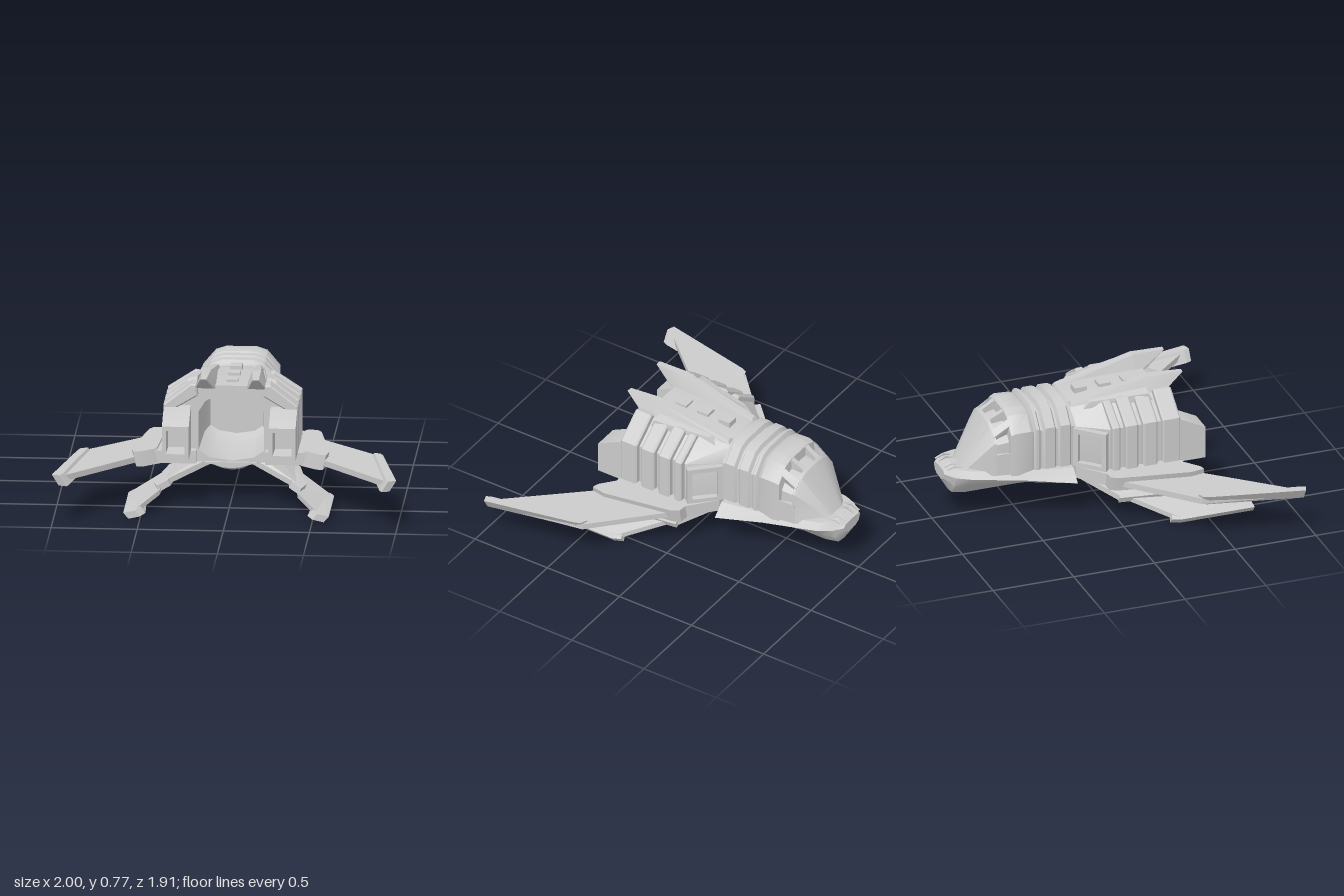
import * as THREE from 'three';
import { toCreasedNormals } from 'three/addons/utils/BufferGeometryUtils.js';
import { ConvexGeometry } from 'three/addons/geometries/ConvexGeometry.js';

const material = new THREE.MeshStandardMaterial({ color: 0xcccccc });

// Skin over mirrored cross-sections: each is [z, half profile from top centre to bottom centre]
function loft(sections, crease = 0.5) {
  const n = sections[0][1].length, m = 2 * n - 2, pos = [];
  const rings = sections.map(([z, half]) => [
    ...half.map(([x, y]) => [x, y, z]),
    ...half.slice(1, -1).reverse().map(([x, y]) => [-x, y, z]),
  ]);
  const tri = (a, b, c) => pos.push(...a, ...b, ...c);
  for (let i = 0; i < rings.length - 1; i++) {
    for (let j = 0; j < m; j++) {
      const k = (j + 1) % m, a = rings[i], b = rings[i + 1];
      tri(a[j], b[j], b[k]);
      tri(a[j], b[k], a[k]);
    }
  }
  const cap = (r, flip) => {
    for (let j = 0; j < n - 1; j++) {
      const p = j, q = j + 1, s = (m - q) % m, t = (m - p) % m;
      const t1 = [r[p], r[q], r[s]], t2 = [r[p], r[s], r[t]];
      if (q !== s) tri(...(flip ? t1.reverse() : t1));
      if (p !== t) tri(...(flip ? t2.reverse() : t2));
    }
  };
  cap(rings[0], false);
  cap(rings[rings.length - 1], true);
  const g = new THREE.BufferGeometry();
  g.setAttribute('position', new THREE.Float32BufferAttribute(pos, 3));
  return toCreasedNormals(g, crease);
}

const hull = (pts) => new ConvexGeometry(pts.map((p) => new THREE.Vector3(...p)));

// Plate with the given top corners, thickness t, underside shifted by dx
const slab = (top, t, dx = 0) => hull([...top, ...top.map(([x, y, z]) => [x + dx, y - t, z])]);

function flipped(geo) {
  const g = geo.index ? geo.toNonIndexed() : geo.clone();
  g.scale(-1, 1, 1);
  for (const name of ['position', 'normal']) {
    const a = g.attributes[name], v = new THREE.Vector3(), w = new THREE.Vector3();
    for (let i = 0; i < a.count; i += 3) {
      v.fromBufferAttribute(a, i + 1);
      w.fromBufferAttribute(a, i + 2);
      a.setXYZ(i + 1, w.x, w.y, w.z);
      a.setXYZ(i + 2, v.x, v.y, v.z);
    }
  }
  g.deleteAttribute('uv');
  g.computeVertexNormals();
  return toCreasedNormals(g, 0.5);
}

export function createModel() {
  const root = new THREE.Group();
  const add = (name, geo) => {
    const mesh = new THREE.Mesh(geo, material);
    mesh.name = name;
    root.add(mesh);
  };
  const pair = (name, geo) => {
    add(name + 'Left', geo);
    add(name + 'Right', flipped(geo));
  };
  const box = (w, h, d, x, y, z, rx = 0) =>
    new THREE.BoxGeometry(w, h, d).rotateX(rx).translate(x, y, z);

  // Boat-shaped lower hull with flared skirt and keel
  add('lowerHull', loft([
    [-0.955, [[0, 0.335], [0.07, 0.33], [0.085, 0.315], [0.07, 0.28], [0.04, 0.265], [0, 0.265]]],
    [-0.9, [[0, 0.355], [0.11, 0.35], [0.13, 0.3], [0.11, 0.24], [0.06, 0.18], [0, 0.17]]],
    [-0.82, [[0, 0.345], [0.15, 0.34], [0.18, 0.3], [0.13, 0.24], [0.07, 0.17], [0, 0.15]]],
    [-0.5, [[0, 0.33], [0.22, 0.32], [0.25, 0.27], [0.16, 0.22], [0.07, 0.17], [0, 0.15]]],
    [-0.22, [[0, 0.32], [0.26, 0.31], [0.33, 0.24], [0.17, 0.21], [0.07, 0.17], [0, 0.15]]],
    [-0.21, [[0, 0.24], [0.2, 0.24], [0.22, 0.23], [0.15, 0.21], [0.07, 0.17], [0, 0.15]]],
    [0.25, [[0, 0.235], [0.19, 0.235], [0.2, 0.225], [0.13, 0.205], [0.06, 0.17], [0, 0.16]]],
    [0.36, [[0, 0.235], [0.15, 0.235], [0.15, 0.23], [0.1, 0.22], [0.05, 0.205], [0, 0.2]]],
  ]));
  for (const x of [0.035, 0.075]) {
    pair('noseStrake', hull([[x, 0.34, -0.95], [x + 0.015, 0.34, -0.95], [x, 0.365, -0.9],
      [x + 0.02, 0.36, -0.9], [x + 0.01, 0.34, -0.83], [x + 0.03, 0.34, -0.83]]));
  }

  // Cabin: sloped windscreen, recessed window band, ribbed rear
  const cabin = (s, top = 0.68) => [[0, top], [0.09, top], [0.15, top - 0.02], [0.225, 0.57],
    [0.225, 0.3], [0, 0.28]].map(([x, y]) => [x * s, 0.28 + (y - 0.28) * s]);
  const brow = [[0, 0.61], [0.075, 0.61], [0.13, 0.59], [0.195, 0.51], [0.2, 0.31], [0, 0.28]];
  const band = (s) => brow.map(([x, y]) => [x * s, 0.28 + (y - 0.28) * s]);
  const cabinSections = [
    [-0.85, [[0, 0.345], [0.045, 0.345], [0.055, 0.34], [0.07, 0.33], [0.09, 0.3], [0, 0.28]]],
    [-0.69, brow], [-0.672, band(1.03)], [-0.668, band(0.94)], [-0.595, band(0.99)],
    [-0.59, cabin(0.965)], [-0.56, cabin(1)], [-0.47, cabin(1, 0.675)],
  ];
  for (const z of [-0.45, -0.395, -0.3]) {
    const end = z === -0.45 ? z + 0.03 : z + 0.07;
    cabinSections.push([z, cabin(0.96)], [z + 0.012, cabin(1.02)], [end, cabin(1.02)], [end + 0.012, cabin(0.96)]);
  }
  cabinSections.push([-0.19, cabin(0.95)]);
  add('cabin', loft(cabinSections));
  pair('windowPostInner', hull([[0.05, 0.58, -0.685], [0.075, 0.58, -0.685], [0.05, 0.61, -0.685],
    [0.08, 0.61, -0.685], [0.06, 0.6, -0.585], [0.09, 0.6, -0.585], [0.06, 0.665, -0.585], [0.09, 0.665, -0.585]]));
  pair('windowPostOuter', hull([[0.14, 0.54, -0.685], [0.17, 0.52, -0.685], [0.145, 0.58, -0.685],
    [0.175, 0.545, -0.685], [0.16, 0.55, -0.585], [0.15, 0.64, -0.585], [0.185, 0.61, -0.585]]));
  pair('windowSill', hull([[0.17, 0.31, -0.685], [0.2, 0.31, -0.685], [0.2, 0.44, -0.685],
    [0.17, 0.44, -0.685], [0.18, 0.31, -0.585], [0.217, 0.31, -0.585], [0.217, 0.45, -0.585]]));

  // Hollow engine body, open at the rear
  const opening = (s) => [[0, 0.62], [0.1, 0.62], [0.15, 0.595], [0.19, 0.53], [0.19, 0.3], [0.13, 0.26], [0, 0.24]]
    .map(([x, y]) => [x * s, 0.43 + (y - 0.43) * s]);
  const body = [[0, 0.68], [0.1, 0.68], [0.2, 0.675], [0.355, 0.565], [0.355, 0.31], [0.23, 0.235], [0, 0.215]];
  add('engineBody', loft([
    [-0.21, [[0, 0.655], [0.09, 0.655], [0.14, 0.64], [0.205, 0.55], [0.205, 0.3], [0.18, 0.23], [0, 0.2]]],
    [-0.03, body],
    [0.34, body.map(([x, y], i) => [x, i < 3 ? y + 0.01 : y])],
    [0.34, opening(1)],
    [-0.05, opening(0.95)],
    [-0.12, opening(0.8)],
  ]));
  for (const z of [-0.09, 0.06, 0.21]) add('deckHatch', box(0.07, 0.035, 0.075, 0, 0.683, z));

  // Side ribs wrapping over the shoulders
  [[-0.025, 0.025], [0.055, 0.135], [0.165, 0.255], [0.285, 0.395]].forEach(([z0, z1], i) => {
    const d = i * 0.007;
    const shape = new THREE.Shape([[0.19, 0.64], [0.2, 0.685 + d], [0.23, 0.69 + d], [0.39, 0.585],
      [0.39, 0.31], [0.34, 0.31], [0.34, 0.55]].map((p) => new THREE.Vector2(...p)));
    pair('sideRib', new THREE.ExtrudeGeometry(shape, { depth: z1 - z0 - 0.02, bevelEnabled: true,
      bevelSize: 0.008, bevelOffset: -0.008, bevelThickness: 0.01, bevelSegments: 1 }).translate(0, 0, z0 + 0.01));
  });
  pair('shoulderStrip', hull([[0.16, 0.64, -0.13], [0.19, 0.64, -0.13], [0.165, 0.685, -0.09], [0.19, 0.68, -0.09],
    [0.2, 0.72, 0.25], [0.255, 0.705, 0.25], [0.21, 0.66, 0.27], [0.26, 0.66, 0.27]]));

  // Swept dorsal fins
  pair('dorsalFin', hull([[0.1, 0.65, -0.2], [0.15, 0.65, -0.2], [0.11, 0.67, -0.19], [0.14, 0.67, -0.19],
    [0.08, 0.66, 0.3], [0.215, 0.66, 0.3], [0.12, 0.77, 0.29], [0.17, 0.77, 0.29],
    [0.1, 0.68, 0.37], [0.205, 0.68, 0.37], [0.135, 0.765, 0.49], [0.17, 0.765, 0.49]]));

  // Framed intakes on the diagonal front faces
  const frame = new THREE.Shape([[-0.105, -0.12], [0.105, -0.12], [0.105, 0.12], [-0.105, 0.12]]
    .map((p) => new THREE.Vector2(...p)));
  frame.holes.push(new THREE.Path([[-0.075, -0.095], [-0.075, 0.09], [0.075, 0.09], [0.075, -0.095]]
    .map((p) => new THREE.Vector2(...p))));
  pair('intakeFrame', new THREE.ExtrudeGeometry(frame, { depth: 0.035, bevelEnabled: false })
    .rotateY(Math.PI * 0.75).translate(0.285, 0.43, -0.115));

  // Hollow exhaust boxes
  const duct = (w, top, bottom) => [[0, top], [w, top], [w, bottom], [0, bottom]];
  pair('exhaustBox', loft([
    [0.33, duct(0.078, 0.57, 0.3)], [0.4, duct(0.078, 0.57, 0.3)], [0.55, duct(0.078, 0.495, 0.3)],
    [0.55, duct(0.055, 0.47, 0.33)], [0.43, duct(0.05, 0.46, 0.34)],
  ]).translate(0.31, 0, 0));

  // Upper wings: base plate, root rail, panel, tip rail
  const flat = (y, pts) => pts.map(([x, z]) => [x, y, z]);
  pair('bodySill', slab(flat(0.31, [[0.2, -0.2], [0.25, -0.2], [0.43, -0.05], [0.46, 0.4], [0.2, 0.4]]), 0.075));
  pair('wingRootRail', slab(flat(0.32, [[0.4, -0.05], [0.42, -0.075], [0.475, -0.07], [0.5, -0.03],
    [0.575, 0.39], [0.56, 0.475], [0.52, 0.465], [0.43, 0.39]]), 0.09, -0.02));
  pair('upperWingPanel', slab(flat(0.288, [[0.47, -0.02], [0.86, 0.35], [0.96, 0.93], [0.53, 0.45]]), 0.035));
  pair('wingTipRail', slab(flat(0.303, [[0.83, 0.34], [0.87, 0.355], [0.885, 0.39], [1, 0.94],
    [0.955, 0.955], [0.94, 0.92]]), 0.065, -0.04));

  // Drooping lower wings in two stepped panels with rails
  pair('lowerWingInner', slab([[0.08, 0.25, -0.2], [0.14, 0.25, -0.2], [0.2, 0.235, 0.32],
    [0.1, 0.25, 0.28], [0.4, 0.135, 0.45], [0.36, 0.13, 0.03]], 0.035));
  pair('lowerWingMidRail', slab([[0.32, 0.145, 0.03], [0.38, 0.125, 0.02], [0.445, 0.13, 0.42],
    [0.42, 0.135, 0.54], [0.36, 0.15, 0.46]], 0.035, -0.015));
  pair('lowerWingOuter', slab([[0.36, 0.125, 0.07], [0.4, 0.12, 0.57], [0.53, 0.05, 0.75],
    [0.57, 0.045, 0.31]], 0.03));
  pair('lowerWingTipRail', slab([[0.52, 0.06, 0.29], [0.575, 0.035, 0.27], [0.597, 0.035, 0.32],
    [0.597, 0.035, 0.775], [0.53, 0.05, 0.775], [0.5, 0.06, 0.73]], 0.035, -0.03));

  return root;
}
